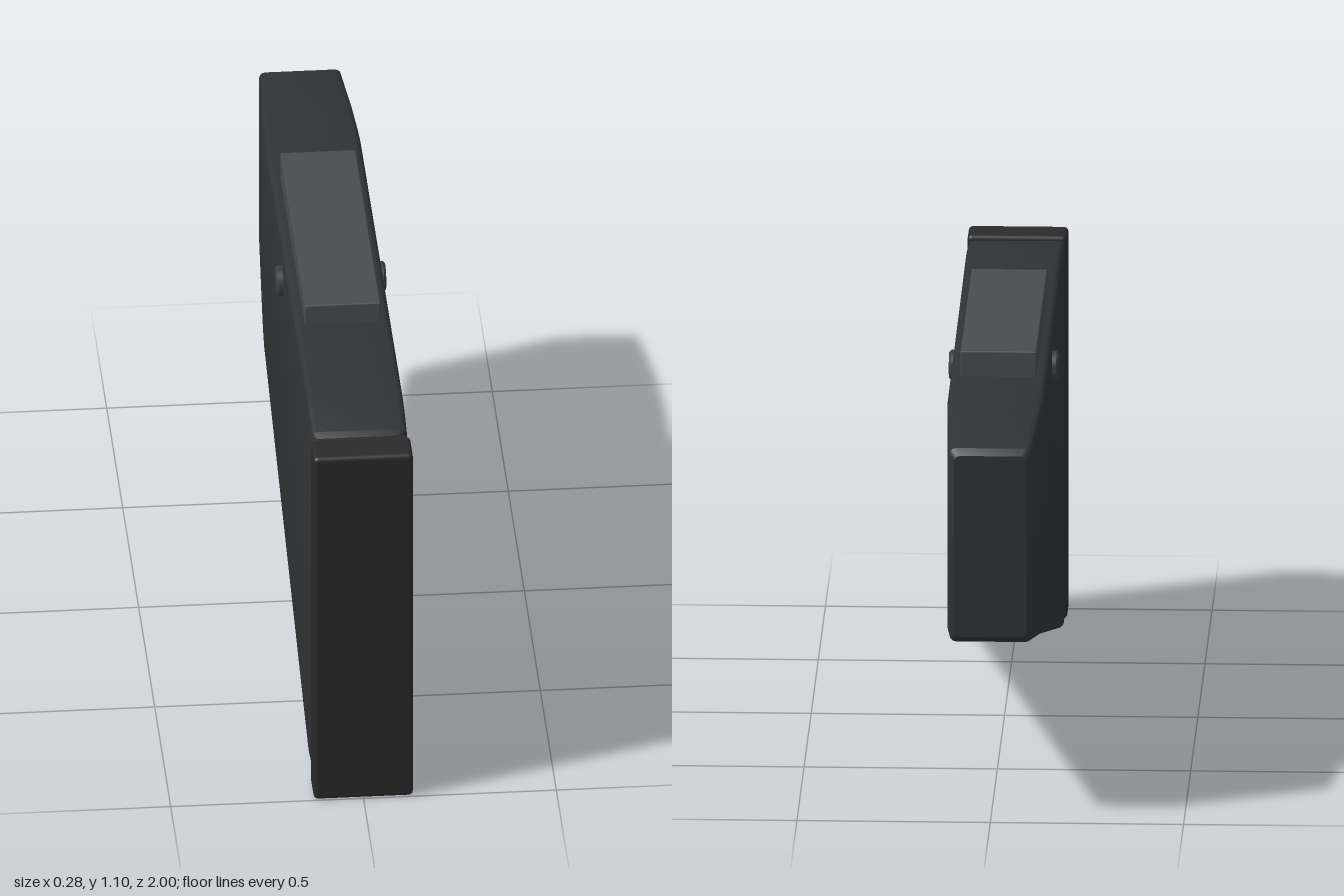
import * as THREE from 'three';
import { toCreasedNormals } from 'three/addons/utils/BufferGeometryUtils.js';
import { RoundedBoxGeometry } from 'three/addons/geometries/RoundedBoxGeometry.js';

// Rounded-rectangle outline, counter-clockwise as seen from +z
function ring(lo, hi, hw, r, segments = 3) {
  const corners = [[hw - r, hi - r], [r - hw, hi - r], [r - hw, lo + r], [hw - r, lo + r]];
  const points = [];
  corners.forEach(([x, y], k) => {
    for (let s = 0; s <= segments; s++) {
      const a = (k + s / segments) * Math.PI / 2;
      points.push([x + r * Math.cos(a), y + r * Math.sin(a)]);
    }
  });
  return points;
}

// Loft through stations [z, bottom, top, half width], running from front to back
function loft(stations, radius) {
  const positions = [], index = [];
  let n = 0;
  for (const [z, lo, hi, hw] of stations) {
    const points = ring(lo, hi, hw, radius);
    n = points.length;
    for (const [x, y] of points) positions.push(x, y, z);
  }
  const last = (stations.length - 1) * n;
  for (let i = 0; i < stations.length - 1; i++) {
    for (let j = 0; j < n; j++) {
      const a = i * n + j, b = i * n + (j + 1) % n;
      index.push(a, a + n, b + n, a, b + n, b);
    }
  }
  for (let j = 1; j < n - 1; j++) {
    index.push(0, j, j + 1, last, last + j + 1, last + j);
  }
  const geometry = new THREE.BufferGeometry();
  geometry.setAttribute('position', new THREE.Float32BufferAttribute(positions, 3));
  geometry.setIndex(index);
  return toCreasedNormals(geometry, 0.6);
}

export function createModel() {
  const model = new THREE.Group();
  const add = (name, geometry, color, x = 0, y = 0, z = 0) => {
    const mesh = new THREE.Mesh(geometry, new THREE.MeshStandardMaterial({ color }));
    mesh.name = name;
    mesh.position.set(x, y, z);
    model.add(mesh);
    return mesh;
  };

  // Tapering stock body, narrowing towards the back
  add('stockBody', loft([
    [0.875, 0.03, 1.015, 0.112],
    [0.862, 0.015, 1.028, 0.124],
    [0.79, 0.01, 1.04, 0.125],
    [0.72, 0.028, 1.05, 0.125],
    [-0.6, 0.393, 1.029, 0.125],
    [-0.66, 0.409, 1.028, 0.123],
    [-0.78, 0.436, 1.025, 0.117],
    [-0.985, 0.482, 1.002, 0.106],
    [-1, 0.498, 0.985, 0.094],
  ], 0.016), 0x303234);

  // Spacer and end plate
  add('spacerCore', new THREE.BoxGeometry(0.22, 0.97, 0.06), 0x2a2a2b, 0, 0.52, 0.887);
  add('spacer', new RoundedBoxGeometry(0.246, 1.0, 0.02, 3, 0.009), 0x2a2a2b, 0, 0.52, 0.887);
  add('buttPlate', new RoundedBoxGeometry(0.258, 1.03, 0.1, 3, 0.012), 0x2a2a2b, 0, 0.515, 0.95);

  // Raised pad on the top edge
  add('cheekPad', new RoundedBoxGeometry(0.196, 0.12, 0.77, 2, 0.004), 0x4a4b4f, 0, 1.04, -0.035);

  // Cross pin heads, one on each side
  const pinProfile = [[0, 0], [0.04, 0], [0.04, 0.032], [0.034, 0.038], [0, 0.038]]
    .map(([r, y]) => new THREE.Vector2(r, y));
  const pinGeometry = toCreasedNormals(new THREE.LatheGeometry(pinProfile, 32), 0.5);
  for (const side of [-1, 1]) {
    const pin = add(side > 0 ? 'leftPin' : 'rightPin', pinGeometry, 0x3c3d41, side * 0.104, 0.95, -0.03);
    pin.rotation.z = -side * Math.PI / 2;
  }
  return model;
}
